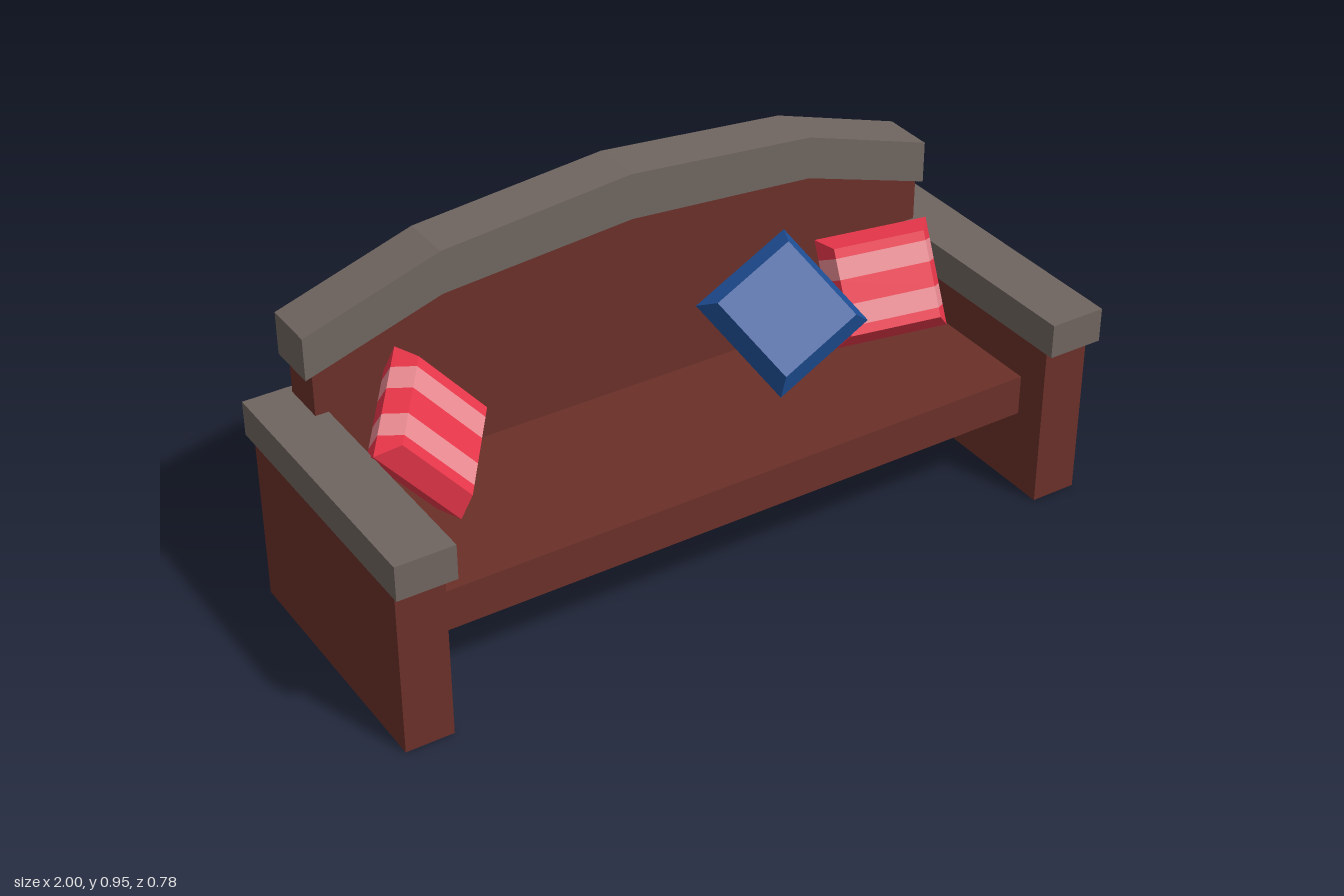
import * as THREE from 'three';

const material = (name, color) => {
  const m = new THREE.MeshStandardMaterial({ color, flatShading: true, side: THREE.DoubleSide });
  m.name = name;
  return m;
};

// Leaves out the faces that look down, so a solid becomes a shell open below
const openBelow = (source) => {
  const flat = source.index ? source.toNonIndexed() : source;
  const pos = flat.attributes.position;
  const points = [];
  for (let i = 0; i < pos.count; i += 3) {
    const corners = [0, 1, 2].map((k) => new THREE.Vector3().fromBufferAttribute(pos, i + k));
    const normal = new THREE.Triangle(...corners).getNormal(new THREE.Vector3());
    if (normal.y > -0.5) points.push(...corners);
  }
  const geometry = new THREE.BufferGeometry().setFromPoints(points);
  geometry.computeVertexNormals();
  return geometry;
};

export function createModel() {
  const wood = material('brown wood', 0x6a3029);
  const trim = material('grey trim', 0x6f6560);
  const red = material('red cloth', 0xe8364a);
  const pink = material('pink cloth', 0xec8d93);
  const blue = material('blue cloth', 0x1f4f96);

  const sofa = new THREE.Group();
  sofa.name = 'sofa';

  const add = (name, geometry, mat) => {
    const mesh = new THREE.Mesh(geometry, mat);
    mesh.name = name;
    sofa.add(mesh);
    return mesh;
  };

  // Open box given by its minimum and maximum corners
  const box = (name, mat, [x0, y0, z0], [x1, y1, z1]) =>
    add(name, openBelow(new THREE.BoxGeometry(x1 - x0, y1 - y0, z1 - z0)), mat)
      .position.set((x0 + x1) / 2, (y0 + y1) / 2, (z0 + z1) / 2);

  // Outline in x and y, extruded from z0 to z1
  const slab = (name, mat, points, z0, z1) => {
    const shape = new THREE.Shape(points.map(([x, y]) => new THREE.Vector2(x, y)));
    const geometry = new THREE.ExtrudeGeometry(shape, { depth: z1 - z0, bevelEnabled: false });
    add(name, openBelow(geometry.translate(0, 0, z0)), mat);
  };

  // Side panels that reach the floor, with armrests on top
  for (const [side, s] of [['left', 1], ['right', -1]]) {
    const span = (a, b) => (s > 0 ? [a, b] : [-b, -a]);
    const [p0, p1] = span(0.86, 0.988);
    box(side + 'SidePanel', wood, [p0, 0, -0.365], [p1, 0.545, 0.355]);
    const [a0, a1] = span(0.845, 1);
    box(side + 'Armrest', trim, [a0, 0.463, -0.39], [a1, 0.557, 0.39]);
  }

  // Hollow seat
  box('seat', wood, [-0.862, 0.223, -0.243], [0.862, 0.335, 0.265]);

  // Arched backrest and its cap
  slab('backrest', wood, [
    [-0.88, 0.207], [0.88, 0.207], [0.88, 0.76], [0.53, 0.88],
    [0, 0.93], [-0.53, 0.88], [-0.88, 0.76],
  ], -0.365, -0.24);
  slab('backrestCap', trim, [
    [-0.9, 0.665], [-0.53, 0.783], [0, 0.825], [0.53, 0.783], [0.9, 0.665],
    [0.9, 0.78], [0.53, 0.9], [0, 0.95], [-0.53, 0.9], [-0.9, 0.78],
  ], -0.378, -0.233);

  // Cushion from three seam corners; stripes follow one another from corner to uCorner
  const cushion = (name, corner, uCorner, vCorner, mats) => {
    const o = new THREE.Vector3(...corner);
    const u = new THREE.Vector3(...uCorner).sub(o).multiplyScalar(0.5);
    const v = new THREE.Vector3(...vCorner).sub(o).multiplyScalar(0.5);
    const w = u.clone().cross(v).normalize();
    const centre = o.clone().add(u).add(v);
    const inset = 0.8, thick = 0.058;

    // Cross-section at s, narrowing to the seam at both ends
    const ring = (s) => {
      const end = Math.abs(s) === 1;
      const k = end ? 1 : inset, h = end ? 0 : thick;
      return [[-1, 0], [-k, h], [k, h], [1, 0], [k, -h], [-k, -h]].map(([a, b]) =>
        centre.clone().addScaledVector(u, s).addScaledVector(v, a).addScaledVector(w, b));
    };
    const stations = [-1, -inset, -0.62, -0.23, 0.23, 0.62, inset, 1];
    const stripe = [0, 0, 1, 0, 1, 0, 0];
    const geometry = new THREE.BufferGeometry();
    const points = [];
    for (let i = 0; i < 7; i++) {
      const r0 = ring(stations[i]), r1 = ring(stations[i + 1]);
      geometry.addGroup(points.length, 36, stripe[i]);
      for (let j = 0; j < 6; j++) {
        const k = (j + 1) % 6;
        points.push(r0[j], r1[j], r1[k], r0[j], r1[k], r0[k]);
      }
    }
    geometry.setFromPoints(points);
    geometry.computeVertexNormals();
    add(name, geometry, mats);
  };

  cushion('blueCushion', [0.168, 0.535, -0.205], [0.283, 0.337, 0.015], [0.45, 0.662, -0.226], [blue, blue]);
  cushion('leftStripedCushion', [0.547, 0.6, -0.225], [0.53, 0.345, -0.09], [0.842, 0.62, -0.14], [red, pink]);
  cushion('rightStripedCushion', [-0.67, 0.688, -0.225], [-0.852, 0.57, 0.005], [-0.473, 0.46, -0.185], [red, pink]);

  return sofa;
}
